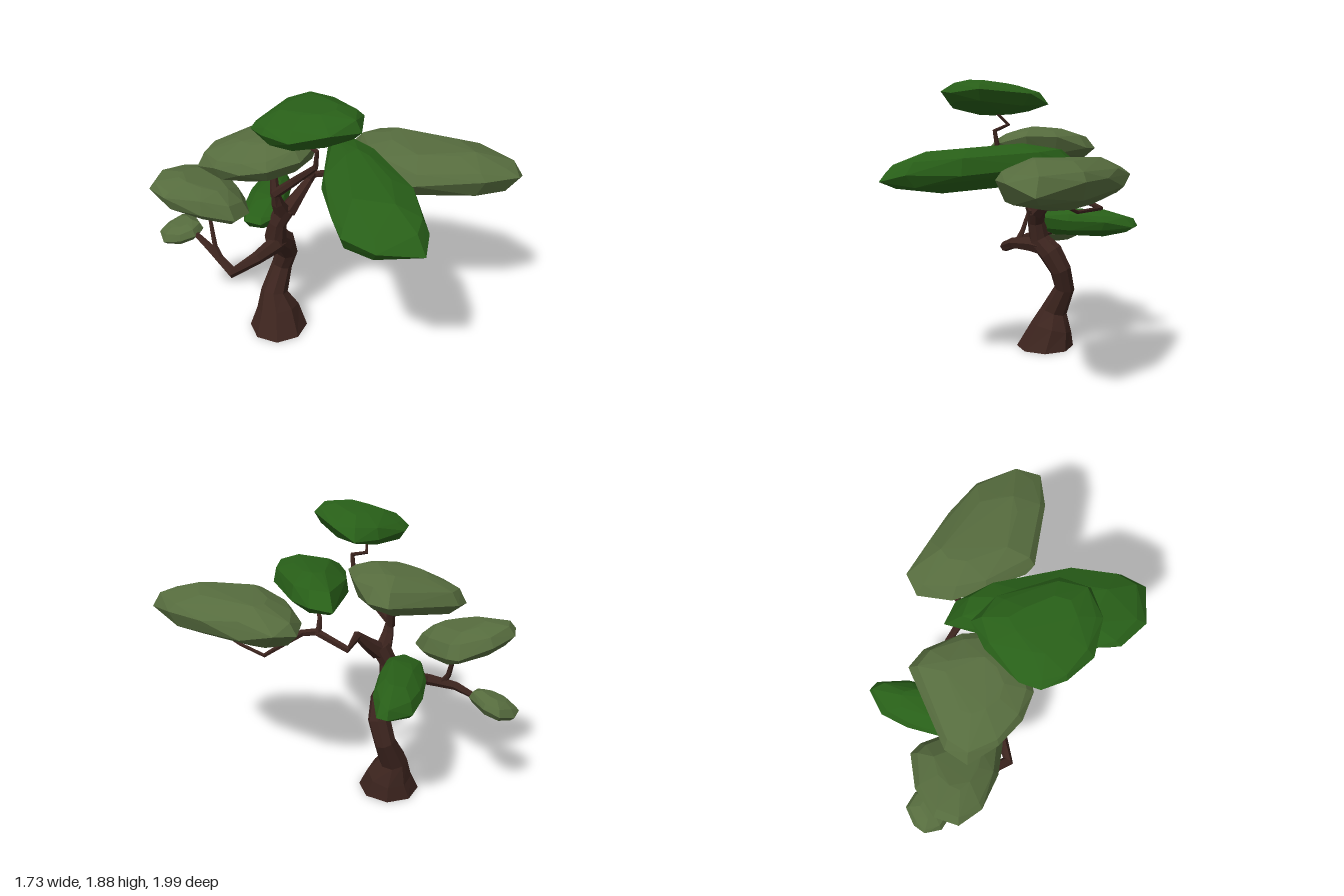
import * as THREE from 'three';
import { ConvexGeometry } from 'three/addons/geometries/ConvexGeometry.js';

const material = (color, side = THREE.FrontSide) =>
  new THREE.MeshStandardMaterial({ color, side, flatShading: true });

// Faceted limb: each point is [x, y, z, radius]; open at its root, capped at its tip
function limb(points, sides, flatBase = false) {
  const centres = points.map((p) => new THREE.Vector3(p[0], p[1], p[2]));
  const last = points.length - 1;
  const q = new THREE.Quaternion();
  let previous = new THREE.Vector3(0, 0, 1);
  const rings = centres.map((c, i) => {
    const t = centres[Math.min(i + 1, last)].clone().sub(centres[Math.max(i - 1, 0)]).normalize();
    if (flatBase && i === 0) t.set(0, 1, 0);
    q.premultiply(new THREE.Quaternion().setFromUnitVectors(previous, t));
    previous = t;
    return Array.from({ length: sides }, (_, j) => {
      const angle = (j / sides) * Math.PI * 2;
      return new THREE.Vector3(Math.cos(angle), Math.sin(angle), 0)
        .multiplyScalar(points[i][3]).applyQuaternion(q).add(c);
    });
  });
  const triangles = [];
  for (let j = 0; j < sides; j++) {
    const k = (j + 1) % sides;
    for (let i = 0; i < last; i++) {
      triangles.push(rings[i][j], rings[i][k], rings[i + 1][k]);
      triangles.push(rings[i][j], rings[i + 1][k], rings[i + 1][j]);
    }
    triangles.push(centres[last], rings[last][j], rings[last][k]);
  }
  const geometry = new THREE.BufferGeometry().setFromPoints(triangles);
  geometry.computeVertexNormals();
  return geometry;
}

// Leaf pad: a plan outline [x, z] swelling to half height h about a tilted plane
function leafPad({ outline, y, h, tilt }, seed) {
  const xs = outline.map((p) => p[0]);
  const zs = outline.map((p) => p[1]);
  const cx = (Math.min(...xs) + Math.max(...xs)) / 2;
  const cz = (Math.min(...zs) + Math.max(...zs)) / 2;
  const random = () => {
    seed = (seed * 16807) % 2147483647;
    return seed / 2147483647 - 0.5;
  };
  // [height, outline scale, jitter]
  const levels = [[-0.95, 0.45, 0.14], [-0.58, 0.84, 0.1], [0, 1, 0], [0.52, 0.88, 0.1], [0.95, 0.48, 0.14]];
  const points = [];
  for (const [level, scale, jitter] of levels) {
    for (const [px, pz] of outline) {
      const s = scale + random() * jitter;
      const dx = (px - cx) * s;
      const dz = (pz - cz) * s;
      const lift = h * (level + random() * (level === 0 ? 0.6 : 0.12));
      points.push(new THREE.Vector3(cx + dx, y + tilt[0] * dx + tilt[1] * dz + lift, cz + dz));
    }
  }
  return new ConvexGeometry(points);
}

export function createModel() {
  const tree = new THREE.Group();
  const bark = material(0x3c241e, THREE.DoubleSide);
  const darkLeaf = material(0x285f18);
  const paleLeaf = material(0x566c3e);
  const add = (name, geometry, mat) => {
    const mesh = new THREE.Mesh(geometry, mat);
    mesh.name = name;
    tree.add(mesh);
  };

  // Curving trunk with a flared foot
  add('trunk', limb([
    [-0.27, 0, -0.31, 0.205], [-0.24, 0.14, -0.345, 0.15], [-0.24, 0.26, -0.375, 0.095],
    [-0.148, 0.44, -0.385, 0.072], [-0.14, 0.58, -0.335, 0.075], [-0.2, 0.7, -0.3, 0.085],
    [-0.29, 0.79, -0.27, 0.075], [-0.29, 0.92, -0.24, 0.06], [-0.25, 1.03, -0.2, 0.065],
  ], 8, true), bark);

  // Branches
  const branches = {
    topBranch: [[-0.26, 0.98, -0.21, 0.06], [-0.325, 1.1, -0.19, 0.04], [-0.345, 1.18, -0.18, 0.032],
      [-0.3, 1.3, -0.05, 0.026], [-0.285, 1.45, 0.12, 0.018], [-0.29, 1.56, 0.14, 0.015],
      [-0.3, 1.6, 0.01, 0.013], [-0.35, 1.68, 0.07, 0.01]],
    upperBackBranch: [[-0.34, 1.15, -0.19, 0.032], [-0.32, 1.26, -0.22, 0.026], [-0.3, 1.4, -0.26, 0.018]],
    longSideBranch: [[-0.24, 1.0, -0.2, 0.06], [-0.14, 1.08, -0.195, 0.042], [-0.06, 1.15, -0.19, 0.03],
      [0.08, 1.12, -0.27, 0.024], [0.16, 1.19, -0.06, 0.026], [0.23, 1.18, 0, 0.024],
      [0.51, 1.105, 0, 0.014], [0.53, 1.103, 0.23, 0.011], [0.58, 1.15, 0.38, 0.009]],
    frontPadTwig: [[0.16, 1.18, -0.08, 0.022], [0.14, 1.28, -0.07, 0.016], [0.1, 1.34, 0.02, 0.01]],
    lowBranch: [[-0.2, 0.73, -0.3, 0.07], [-0.33, 0.755, -0.24, 0.058], [-0.5, 0.745, -0.22, 0.042],
      [-0.66, 0.69, -0.27, 0.038], [-0.64, 0.75, -0.53, 0.028], [-0.6, 0.76, -0.82, 0.015]],
    risingTwig: [[-0.65, 0.72, -0.4, 0.026], [-0.65, 0.8, -0.45, 0.018], [-0.63, 0.95, -0.5, 0.014],
      [-0.62, 1.08, -0.53, 0.01]],
    lowBackTwig: [[-0.28, 0.87, -0.25, 0.03], [-0.25, 0.9, -0.34, 0.022], [-0.2, 0.92, -0.42, 0.014]],
  };
  for (const [name, points] of Object.entries(branches)) add(name, limb(points, 6), bark);

  // Leaf pads
  const pads = {
    topPad: { leaf: darkLeaf, y: 1.77, h: 0.097, tilt: [0.06, 0.1],
      outline: [[-0.5, -0.13], [-0.24, -0.17], [-0.07, -0.14], [-0.05, 0.04], [-0.16, 0.38],
        [-0.3, 0.49], [-0.48, 0.43], [-0.62, 0.27], [-0.64, 0.08], [-0.6, -0.06]] },
    frontPad: { leaf: darkLeaf, y: 1.33, h: 0.13, tilt: [0.1, -0.03],
      outline: [[0.14, -0.2], [0.22, -0.06], [0.2, 0.15], [0, 0.65], [-0.2, 0.9], [-0.34, 0.99],
        [-0.54, 0.82], [-0.57, 0.6], [-0.48, 0.44], [-0.26, 0.14], [0.02, -0.08]] },
    sidePad: { leaf: paleLeaf, y: 1.28, h: 0.138, tilt: [0.02, 0],
      outline: [[0.42, -0.22], [0.57, -0.2], [0.68, 0], [0.78, 0.26], [0.86, 0.53], [0.82, 0.85],
        [0.67, 0.91], [0.47, 0.8], [0.17, 0.5], [0.16, 0.43], [0.2, 0.15], [0.27, -0.06]] },
    upperBackPad: { leaf: paleLeaf, y: 1.44, h: 0.125, tilt: [0.13, 0.12],
      outline: [[-0.5, -0.62], [0, -0.53], [0.04, -0.4], [-0.03, -0.18], [-0.14, 0], [-0.34, 0.05],
        [-0.53, -0.03], [-0.62, -0.17], [-0.66, -0.36], [-0.64, -0.56]] },
    leftPad: { leaf: paleLeaf, y: 1.12, h: 0.11, tilt: [-0.13, -0.2],
      outline: [[-0.75, -0.87], [-0.55, -0.87], [-0.35, -0.78], [-0.33, -0.7], [-0.38, -0.45],
        [-0.46, -0.31], [-0.6, -0.28], [-0.75, -0.42], [-0.87, -0.62], [-0.87, -0.78]] },
    lowBackPad: { leaf: darkLeaf, y: 0.905, h: 0.098, tilt: [0.06, 0.12],
      outline: [[0.02, -0.79], [0.2, -0.77], [0.22, -0.7], [0.1, -0.53], [-0.1, -0.36], [-0.28, -0.25],
        [-0.41, -0.27], [-0.44, -0.4], [-0.31, -0.57], [-0.15, -0.7]] },
    smallPad: { leaf: paleLeaf, y: 0.745, h: 0.07, tilt: [0.22, 0.16],
      outline: [[-0.66, -1], [-0.54, -0.98], [-0.5, -0.88], [-0.55, -0.72], [-0.64, -0.69],
        [-0.73, -0.74], [-0.78, -0.87], [-0.74, -0.97]] },
  };
  Object.entries(pads).forEach(([name, pad], i) => add(name, leafPad(pad, 4321 + i * 977), pad.leaf));

  return tree;
}
